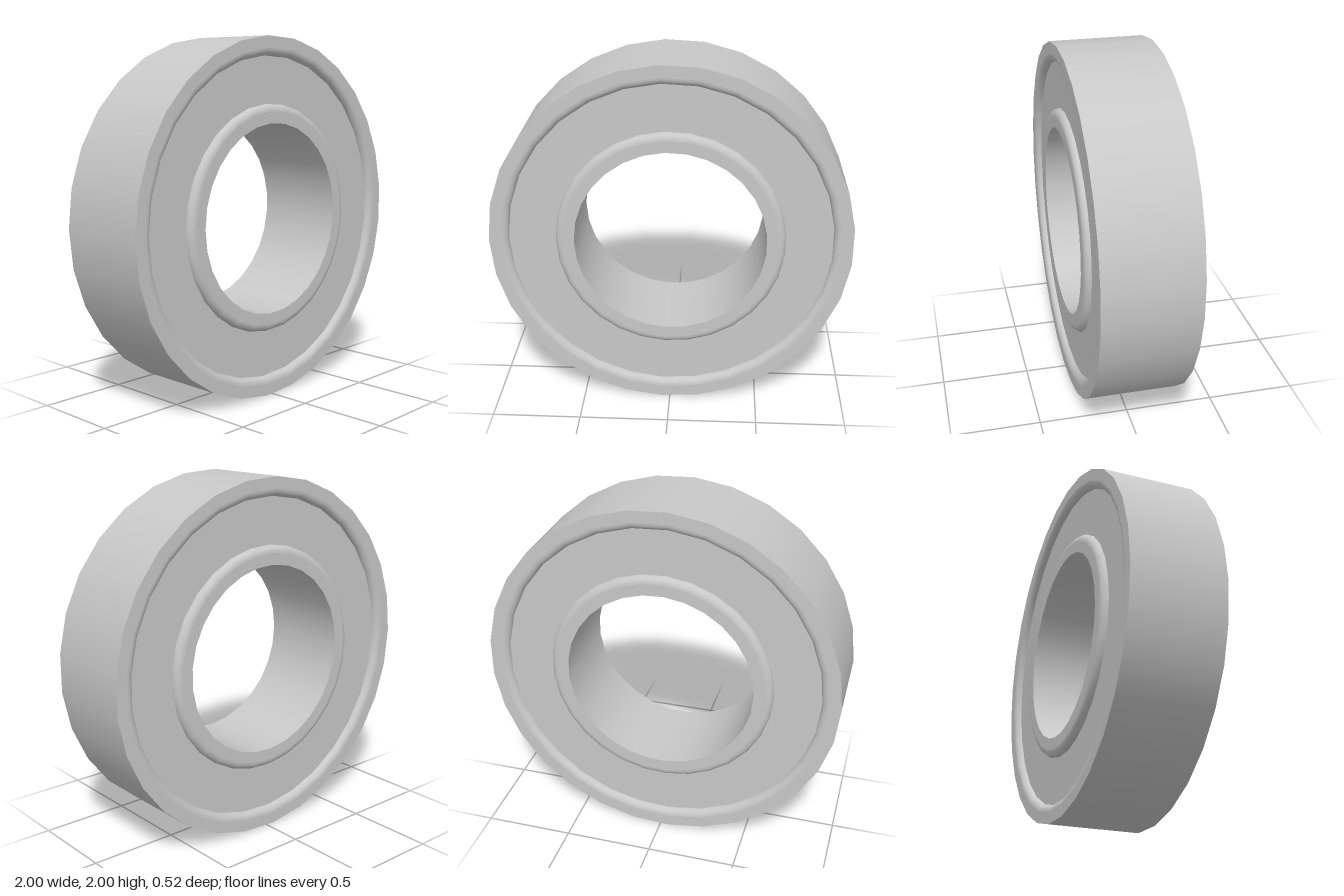
import * as THREE from 'three';

const SEGMENTS = 29;
const OUTER = 1.0014, BORE = 0.53, HALF = 0.262;
const SHIELD_OUT = 0.895, SHIELD_IN = 0.635;
const SHIELD_Z = 0.226, LIP = 0.04;

export function createModel() {
  const model = new THREE.Group();
  model.name = 'ballBearing';
  const steel = new THREE.MeshStandardMaterial({ color: 0xc8c8c8 });
  steel.name = 'steel grey';

  // Revolves [radius, z] points around the z axis
  const revolve = (parent, name, points) => {
    const geometry = new THREE.LatheGeometry(
      points.map(([r, z]) => new THREE.Vector2(r, z)), SEGMENTS, -Math.PI / 2);
    geometry.rotateX(Math.PI / 2);
    const mesh = new THREE.Mesh(geometry, steel);
    mesh.name = name;
    parent.add(mesh);
  };

  // Same surface on the front and, mirrored with reversed order, on the back
  const bothSides = (parent, name, points) => {
    revolve(parent, name + 'Front', points);
    revolve(parent, name + 'Back', points.map(([r, z]) => [r, -z]).reverse());
  };

  // Rounded lip: quarter curve from the face (angle 0) down to the shield
  const lip = (radius, direction) => {
    const points = [];
    for (let i = 0; i <= 6; i++) {
      const a = (i / 6) * Math.PI / 2;
      points.push([
        radius + direction * LIP * (1 - Math.sin(a)),
        SHIELD_Z + (HALF - SHIELD_Z) * Math.cos(a),
      ]);
    }
    return points;
  };

  const ring = (name) => {
    const group = new THREE.Group();
    group.name = name;
    model.add(group);
    return group;
  };

  // Outer ring
  const outerRing = ring('outerRing');
  revolve(outerRing, 'outerWall', [[OUTER, -HALF], [OUTER, HALF]]);
  bothSides(outerRing, 'outerFace', [[OUTER, HALF], [SHIELD_OUT + LIP, HALF]]);
  bothSides(outerRing, 'outerLip', lip(SHIELD_OUT, 1));

  // Recessed shields between the rings
  const shields = ring('shields');
  bothSides(shields, 'shield', [[SHIELD_OUT, SHIELD_Z], [SHIELD_IN, SHIELD_Z]]);

  // Inner ring
  const innerRing = ring('innerRing');
  bothSides(innerRing, 'innerLip', lip(SHIELD_IN, -1).reverse());
  bothSides(innerRing, 'innerFace', [[SHIELD_IN - LIP, HALF], [BORE, HALF]]);
  revolve(innerRing, 'bore', [[BORE, HALF], [BORE, -HALF]]);

  model.position.set(0.003, 1, 0);
  return model;
}
